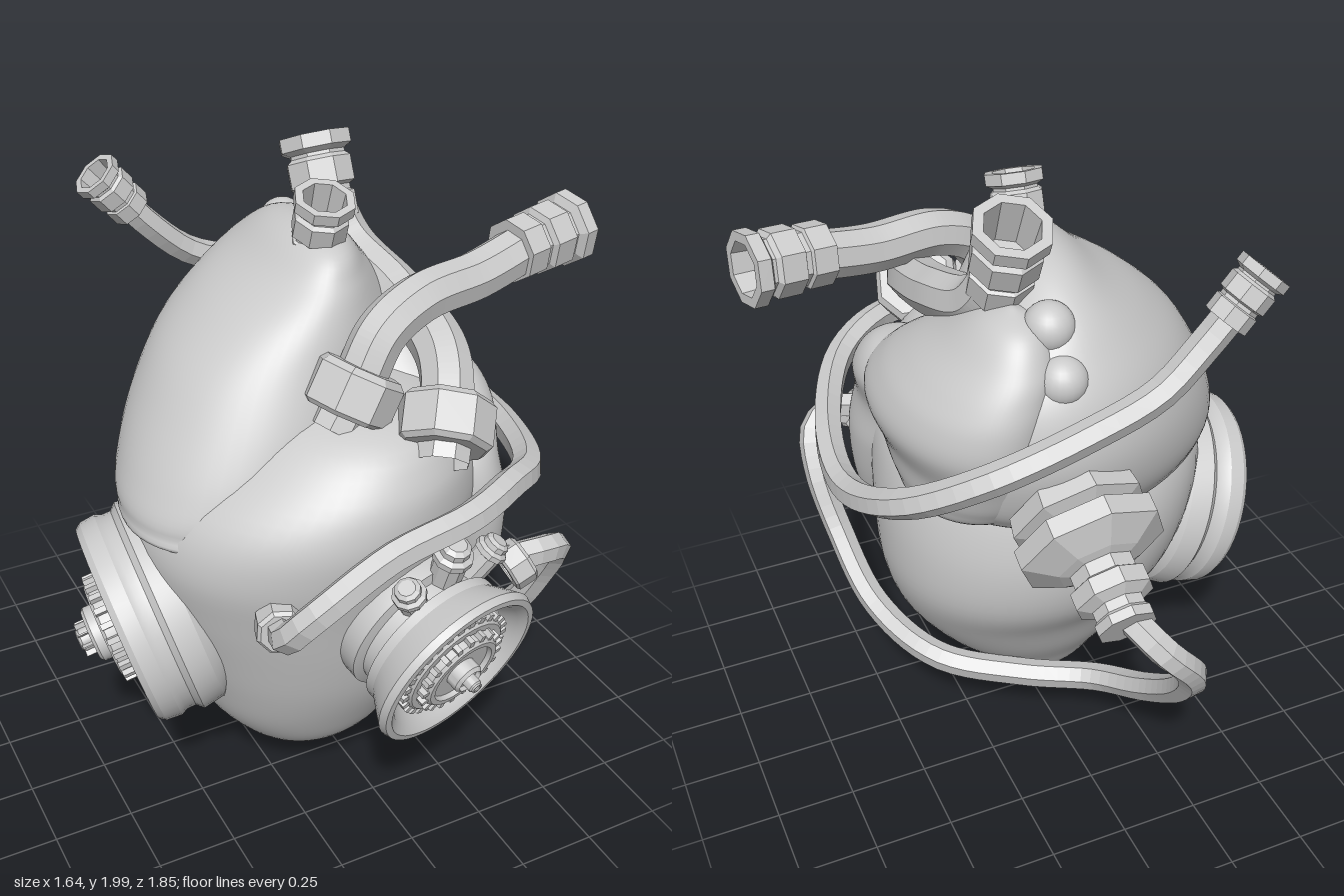
import * as THREE from 'three';
import { mergeVertices, toCreasedNormals } from 'three/addons/utils/BufferGeometryUtils.js';

const smooth = new THREE.MeshStandardMaterial({ color: 0xcccccc, side: THREE.DoubleSide });
const faceted = new THREE.MeshStandardMaterial({ color: 0xcccccc, side: THREE.DoubleSide, flatShading: true });
const V = (a) => new THREE.Vector3(...a);

function add(parent, name, geometry, material = smooth) {
  const mesh = new THREE.Mesh(geometry, material);
  mesh.name = name;
  parent.add(mesh);
  return mesh;
}

// Place an object at a point with its +y axis along a direction
function aim(object, pos, dir) {
  object.position.copy(V(pos));
  object.quaternion.setFromUnitVectors(new THREE.Vector3(0, 1, 0), V(dir).normalize());
  return object;
}

// Organic skin through horizontal rings [y, xMin, xMax, zMin, zMax], bottom to top;
// shear pushes the right half forward and the left half back
function skin(parent, name, rings, shear = 0) {
  const xs = new THREE.CatmullRomCurve3(rings.map((r) => V([r[1], r[0], r[2]])), false, 'catmullrom', 0.5);
  const zs = new THREE.CatmullRomCurve3(rings.map((r) => V([r[3], r[0], r[4]])), false, 'catmullrom', 0.5);
  let g = new THREE.SphereGeometry(1, 64, 56);
  const p = g.attributes.position, uv = g.attributes.uv;
  for (let i = 0; i < p.count; i++) {
    const a = uv.getX(i) * Math.PI * 2, x = xs.getPoint(uv.getY(i)), z = zs.getPoint(uv.getY(i));
    const dx = -(x.z - x.x) / 2 * Math.cos(a);
    p.setXYZ(i, (x.x + x.z) / 2 + dx, x.y, (z.x + z.z) / 2 + (z.z - z.x) / 2 * Math.sin(a) - shear * dx);
  }
  g.deleteAttribute('uv');
  g.deleteAttribute('normal');
  g = mergeVertices(g, 1e-4);
  g.computeVertexNormals();
  return add(parent, name, g);
}

// Turned part with a [radius, height] profile
function turned(parent, name, profile, pos, dir, sides = 8, scale = 1) {
  const g = new THREE.LatheGeometry(profile.map(([r, h]) => new THREE.Vector2(r * scale, h * scale)), sides);
  const mesh = sides > 12 ? add(parent, name, toCreasedNormals(g, 0.5)) : add(parent, name, g, faceted);
  return aim(mesh, pos, dir);
}

function tube(parent, name, points, radius, sides) {
  const curve = new THREE.CatmullRomCurve3(points.map(V), false, 'centripetal');
  return add(parent, name, new THREE.TubeGeometry(curve, 64, radius, sides), faceted);
}

const NOZZLE = [[0.6, -0.6], [0.93, -0.6], [0.93, 0.1], [0.82, 0.15], [0.82, 0.3], [1, 0.38], [1, 1.1],
  [0.85, 1.22], [0.85, 1.32], [1.1, 1.45], [1.1, 1.85], [0.8, 1.85], [0.72, 0.5], [0, 0.5]];
const COLLAR = [[0.6, -0.55], [0.92, -0.55], [1.05, -0.45], [1.05, 0.4], [0.9, 0.55], [0.5, 0.55]];
const BOLT = [[0.05, -0.12], [0.05, 0.01], [0.06, 0.015], [0.06, 0.035], [0.045, 0.045], [0.045, 0.065], [0.03, 0.075], [0, 0.075]];

// Round housing holding a stack of toothed wheels, layers = [radius, bottom, top, teeth]
function gearHousing(parent, name, profile, layers, pos, dir) {
  const group = aim(new THREE.Group(), pos, dir);
  group.name = name;
  parent.add(group);
  turned(group, 'housing', profile, [0, 0, 0], [0, 1, 0], 48);
  for (const [r, lo, hi, teeth] of layers) {
    turned(group, 'wheel', [[r, lo], [r, hi - 0.01], [r - 0.01, hi], [r * 0.8, hi], [r * 0.77, hi - 0.015], [0, hi - 0.015]],
      [0, 0, 0], [0, 1, 0], 32);
    for (let i = 0; i < teeth; i++) {
      const a = i / teeth * Math.PI * 2;
      const tooth = add(group, 'tooth', new THREE.BoxGeometry(r * 0.12, (hi - lo) * 0.8, 0.035));
      tooth.position.set(Math.sin(a) * r, (lo + hi) / 2, Math.cos(a) * r);
      tooth.rotation.y = a;
    }
  }
}

export function createModel() {
  const heart = new THREE.Group();
  heart.name = 'mechanicalHeart';

  // Muscle: ventricles, atria and the hanging auricle
  skin(heart, 'ventricles', [
    [0, -0.07, -0.07, 0.13, 0.13], [0.03, -0.16, 0.03, 0.03, 0.22], [0.11, -0.26, 0.12, -0.06, 0.32],
    [0.2, -0.35, 0.22, -0.12, 0.41], [0.32, -0.44, 0.33, -0.2, 0.48], [0.47, -0.5, 0.43, -0.28, 0.55],
    [0.63, -0.56, 0.48, -0.38, 0.6], [0.8, -0.61, 0.49, -0.42, 0.64], [0.97, -0.63, 0.48, -0.41, 0.68],
    [1.12, -0.57, 0.45, -0.36, 0.7], [1.25, -0.42, 0.38, -0.3, 0.67], [1.36, -0.25, 0.27, -0.2, 0.55],
    [1.42, 0, 0, 0.2, 0.2]], 0.08);
  skin(heart, 'rightAtrium', [
    [0.99, -0.1, -0.1, -0.1, -0.1], [1.01, -0.6, 0.3, -0.36, 0.38], [1.07, -0.66, 0.38, -0.44, 0.43],
    [1.18, -0.63, 0.4, -0.5, 0.43], [1.32, -0.56, 0.4, -0.53, 0.4], [1.47, -0.46, 0.36, -0.51, 0.35],
    [1.59, -0.33, 0.28, -0.45, 0.31], [1.69, -0.18, 0.19, -0.37, 0.26], [1.77, -0.08, 0.11, -0.23, 0.19],
    [1.81, 0.01, 0.01, -0.01, -0.01]], 0.3);
  skin(heart, 'leftAtrium', [
    [1, 0.25, 0.25, -0.1, -0.1], [1.03, 0.08, 0.43, -0.33, 0.1], [1.1, 0.03, 0.47, -0.41, 0.22], [1.2, 0.02, 0.49, -0.46, 0.33],
    [1.32, 0.02, 0.53, -0.5, 0.34], [1.42, 0.03, 0.5, -0.51, 0.24], [1.5, 0.04, 0.44, -0.5, 0.13],
    [1.58, 0.05, 0.36, -0.47, 0], [1.67, 0.1, 0.27, -0.4, -0.15], [1.71, 0.18, 0.18, -0.28, -0.28]]);
  skin(heart, 'leftAuricle', [
    [0.7, 0.38, 0.38, 0.4, 0.4], [0.74, 0.31, 0.45, 0.28, 0.49], [0.84, 0.26, 0.48, 0.21, 0.52], [1, 0.2, 0.49, 0.12, 0.54],
    [1.15, 0.18, 0.47, 0.05, 0.52], [1.28, 0.18, 0.49, 0, 0.44], [1.37, 0.24, 0.44, 0.06, 0.34], [1.4, 0.34, 0.34, 0.2, 0.2]]);
  for (const p of [[0.1, 1.66, -0.35], [0.1, 1.54, -0.44]]) {
    add(heart, 'veinStub', new THREE.SphereGeometry(0.075, 24, 16)).position.set(...p);
  }

  // Top inlet
  turned(heart, 'topInlet', NOZZLE, [0, 1.765, 0.08], [0, 0.93, 0.32], 8, 0.083);

  // Large hose bending to the left
  turned(heart, 'sideHoseCollar', COLLAR, [-0.05, 1.44, 0.4], [0.5, 0.82, -0.12], 8, 0.13);
  tube(heart, 'sideHose', [[-0.12, 1.34, 0.42], [-0.03, 1.47, 0.4], [0.05, 1.59, 0.38], [0.18, 1.65, 0.35],
    [0.4, 1.66, 0.3], [0.62, 1.7, 0.25]], 0.075, 8);
  turned(heart, 'sideHoseNozzle', NOZZLE, [0.61, 1.7, 0.25], [0.97, 0.07, -0.2], 8, 0.105);

  // Large hose running back over the top
  turned(heart, 'topHoseCollar', COLLAR, [0.16, 1.36, 0.56], [0.42, 0.65, -0.55], 8, 0.135);
  tube(heart, 'topHose', [[0.11, 1.28, 0.63], [0.17, 1.38, 0.55], [0.24, 1.49, 0.4], [0.25, 1.57, 0.12],
    [0.21, 1.65, -0.11], [0.17, 1.79, -0.21]], 0.08, 8);
  turned(heart, 'topHoseNozzle', NOZZLE, [0.175, 1.77, -0.2], [0, 0.9, -0.42], 8, 0.105);

  // Thin hose wrapping from the front round the left side to the back
  turned(heart, 'frontPlug', COLLAR, [-0.39, 0.88, 0.62], [-0.3, 0.05, 0.9], 8, 0.07);
  tube(heart, 'wrapHose', [[-0.38, 0.88, 0.6], [-0.41, 0.9, 0.7], [-0.36, 1, 0.77], [-0.13, 1.13, 0.78],
    [0.12, 1.18, 0.77], [0.3, 1.19, 0.69], [0.45, 1.15, 0.57], [0.59, 1.1, 0.25], [0.63, 1.09, -0.07],
    [0.55, 1.22, -0.39], [0.36, 1.34, -0.54], [0.08, 1.44, -0.58], [-0.13, 1.52, -0.58],
    [-0.26, 1.63, -0.57], [-0.36, 1.74, -0.57]], 0.047, 6);
  turned(heart, 'wrapHoseNozzle', NOZZLE, [-0.35, 1.73, -0.57], [-0.65, 0.75, 0], 8, 0.072);

  // Stepped fitting on the back
  turned(heart, 'backFitting', [[0.15, -0.1], [0.15, 0.05], [0.2, 0.06], [0.21, 0.12], [0.16, 0.14], [0.225, 0.16], [0.225, 0.22],
    [0.13, 0.27], [0.1, 0.28], [0.1, 0.32], [0.12, 0.33], [0.12, 0.38], [0.08, 0.4], [0.08, 0.43], [0.09, 0.44], [0.09, 0.47], [0, 0.47]],
  [0.065, 1.15, -0.4], [0, -0.45, -0.9]);

  // Thin hose from the front housing under the body to the back fitting
  tube(heart, 'lowerHose', [[0.36, 0.89, 0.64], [0.46, 0.9, 0.66], [0.55, 0.86, 0.62], [0.57, 0.74, 0.55], [0.54, 0.54, 0.44],
    [0.49, 0.36, 0.22], [0.36, 0.28, -0.03], [0.12, 0.25, -0.19], [-0.09, 0.26, -0.32], [-0.17, 0.36, -0.52],
    [-0.18, 0.54, -0.73], [-0.13, 0.73, -0.86], [-0.02, 0.87, -0.88], [0.06, 0.96, -0.76]], 0.046, 6);

  // Front gear housing with its bolts
  gearHousing(heart, 'frontGearHousing',
    [[0.19, -0.34], [0.24, -0.24], [0.24, -0.18], [0.21, -0.17], [0.21, -0.13], [0.24, -0.12], [0.24, -0.09],
      [0.275, -0.03], [0.288, -0.005], [0.28, 0.018], [0.26, 0.02], [0.235, 0], [0.2, -0.05], [0, -0.06]],
    [[0.18, -0.06, 0, 28], [0.135, -0.02, 0.03, 20], [0.05, 0, 0.06, 0], [0.022, 0, 0.09, 0]],
    [0.09, 0.69, 0.8], [0.21, -0.3, 0.93]);
  for (const [p, s] of [[[0.1, 1.01, 0.72], 1], [[-0.04, 0.94, 0.74], 0.85], [[0.25, 0.96, 0.68], 0.85]]) {
    turned(heart, 'bolt', BOLT, p, [(p[0] - 0.09) * 1.1, 0.3, 0.1], 10, s);
  }
  turned(heart, 'lowerHoseCollar', COLLAR, [0.38, 0.87, 0.65], [0.85, 0.45, 0.1], 8, 0.07);

  // Side gear housing
  gearHousing(heart, 'sideGearHousing',
    [[0.28, -0.27], [0.34, -0.2], [0.35, -0.13], [0.33, -0.11], [0.33, -0.08], [0.34, -0.06], [0.335, -0.01],
      [0.32, 0.01], [0.29, 0.01], [0.27, -0.04], [0, -0.04]],
    [[0.23, -0.04, 0.01, 32], [0.16, 0, 0.06, 22], [0.09, 0.04, 0.1, 0], [0.04, 0.08, 0.14, 8]],
    [-0.675, 0.62, 0.07], [-0.94, -0.28, -0.13]);

  return heart;
}
